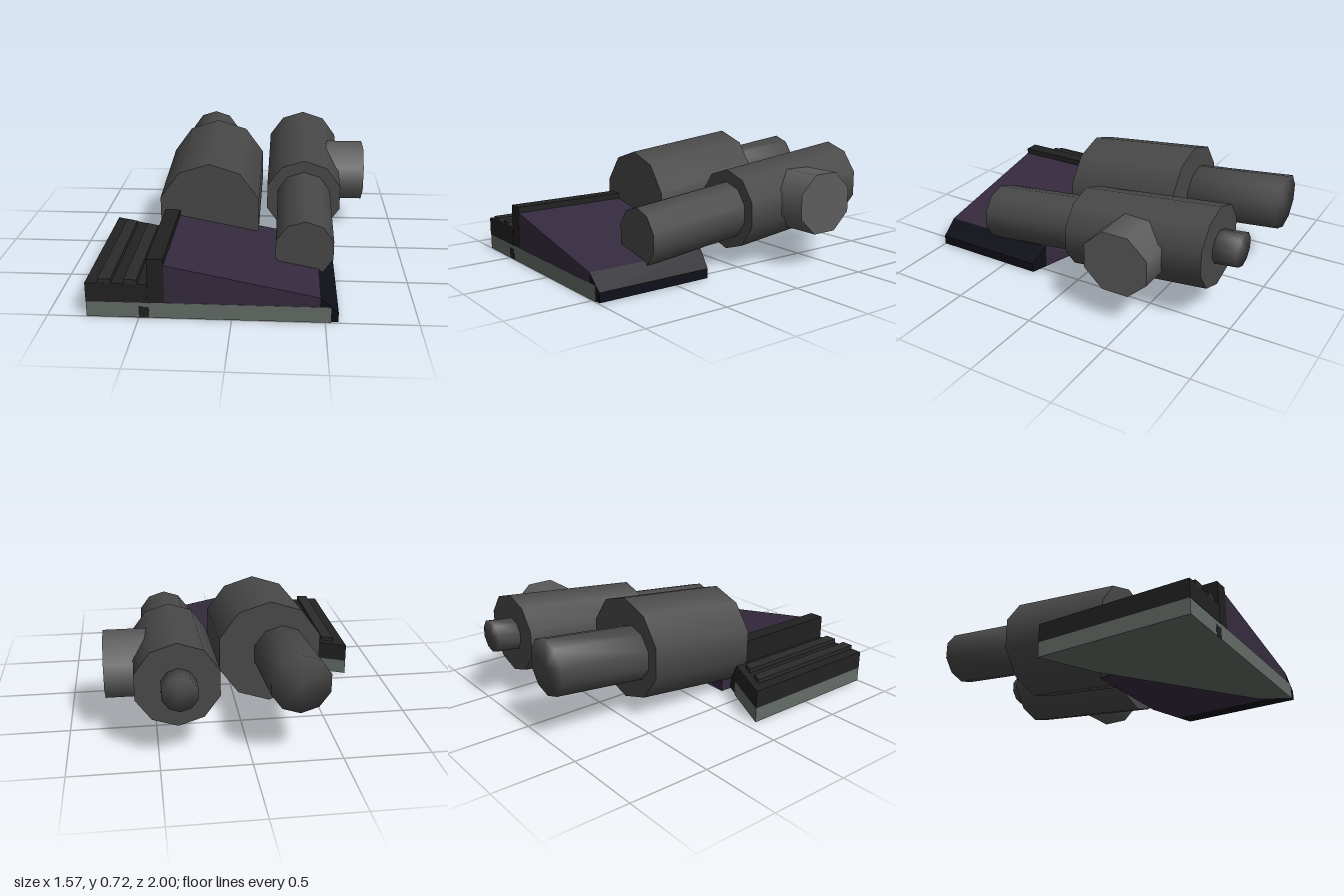
import * as THREE from 'three';
import { mergeVertices } from 'three/addons/utils/BufferGeometryUtils.js';

const SLOPE = 0.11; // how much the tubes rise towards the back

export function createModel() {
  const model = new THREE.Group();

  function add(name, geometry, color) {
    const mesh = new THREE.Mesh(geometry, new THREE.MeshStandardMaterial({ color }));
    mesh.name = name;
    model.add(mesh);
    return mesh;
  }

  // Ten-sided tube along z, sheared so that its ends stay upright
  function tube(name, x, y0, r, zBack, zFront, softEnd = false) {
    let g = new THREE.CylinderGeometry(r, r, zFront - zBack, 10);
    g.rotateX(-Math.PI / 2);
    g.translate(x, y0, (zBack + zFront) / 2);
    const p = g.attributes.position;
    for (let i = 0; i < p.count; i++) p.setY(i, p.getY(i) - SLOPE * p.getZ(i));
    if (softEnd) { // blend the shading over the end cap
      g.deleteAttribute('normal');
      g.deleteAttribute('uv');
      g = mergeVertices(g, 1e-4);
      g.computeVertexNormals();
    }
    return add(name, g, 0x484848);
  }

  // Front profile drawn back from zFront to a back edge that depends on x
  function prism(name, points, back, zFront, color) {
    const shape = new THREE.Shape(points.map(([x, y]) => new THREE.Vector2(x, y)));
    const g = new THREE.ExtrudeGeometry(shape, { depth: 1, bevelEnabled: false });
    const p = g.attributes.position;
    for (let i = 0; i < p.count; i++) {
      p.setZ(i, p.getZ(i) > 0.5 ? zFront : back(p.getX(i)));
    }
    g.computeVertexNormals();
    return add(name, g, color);
  }
  const rect = (x0, x1, y0, y1) => [[x0, y0], [x1, y0], [x1, y1], [x0, y1]];

  // Large tube with its rear barrel
  tube('largeTube', -0.18, 0.357, 0.313, -0.43, 0.285);
  tube('largeRearBarrel', -0.25, 0.352, 0.168, -1, -0.42, true);

  // Slim tube with front and rear barrels
  tube('slimTube', 0.39, 0.334, 0.242, -0.86, 0);
  tube('slimFrontBarrel', 0.39, 0.331, 0.172, -0.01, 0.645);
  tube('slimRearBarrel', 0.385, 0.333, 0.1, -1, -0.85, true);

  // Octagonal side knob
  const knob = new THREE.CylinderGeometry(0.211, 0.211, 0.285, 8);
  knob.rotateY(Math.PI / 8);
  knob.rotateZ(-Math.PI / 2);
  knob.scale(1, 0.913, 1);
  knob.translate(0.6425, 0.383, -0.43);
  add('sideKnob', knob, 0x5c5c5c);

  // Sloping body and its dark bevelled edge
  const bodyBack = x => Math.max(0.19, 0.285 - (0.57 - x) * 0.297);
  prism('slopingBody',
    [[-0.36, 0.004], [0.25, 0.004], [0.47, 0.004], [0.47, 0.145], [0.25, 0.189], [-0.36, 0.31]],
    bodyBack, 0.996, 0x352a3e);
  prism('bevelledEdge',
    [[0.47, 0.004], [0.57, 0.004], [0.57, 0.06], [0.47, 0.145]],
    bodyBack, 0.996, 0x0e0e18);

  // Ridged side block, slanted at the back
  const slant = x => 0.07 + (x + 0.785) * 0.46;
  prism('sideBlock', rect(-0.785, -0.45, 0.09, 0.2), slant, 1, 0x222222);
  prism('tallRail', rect(-0.45, -0.36, 0.004, 0.345), slant, 0.997, 0x202020);
  for (const x of [-0.715, -0.575]) {
    prism('ridge', rect(x, x + 0.07, 0.19, 0.225), x => slant(x) + 0.05, 0.999, 0x2b2b2b);
  }
  prism('baseKey', rect(-0.5, -0.445, 0.002, 0.065), x => slant(x) + 0.02, 1, 0x222222);

  // Base plate
  const outline = [[-0.785, 0.07], [-0.785, 0.998], [0.53, 0.998], [0.44, 0.83], [-0.45, 0.22]];
  const plate = new THREE.ExtrudeGeometry(
    new THREE.Shape(outline.map(([x, z]) => new THREE.Vector2(x, -z))),
    { depth: 0.09, bevelEnabled: false });
  plate.rotateX(-Math.PI / 2);
  add('basePlate', plate, 0x646c66);

  return model;
}
